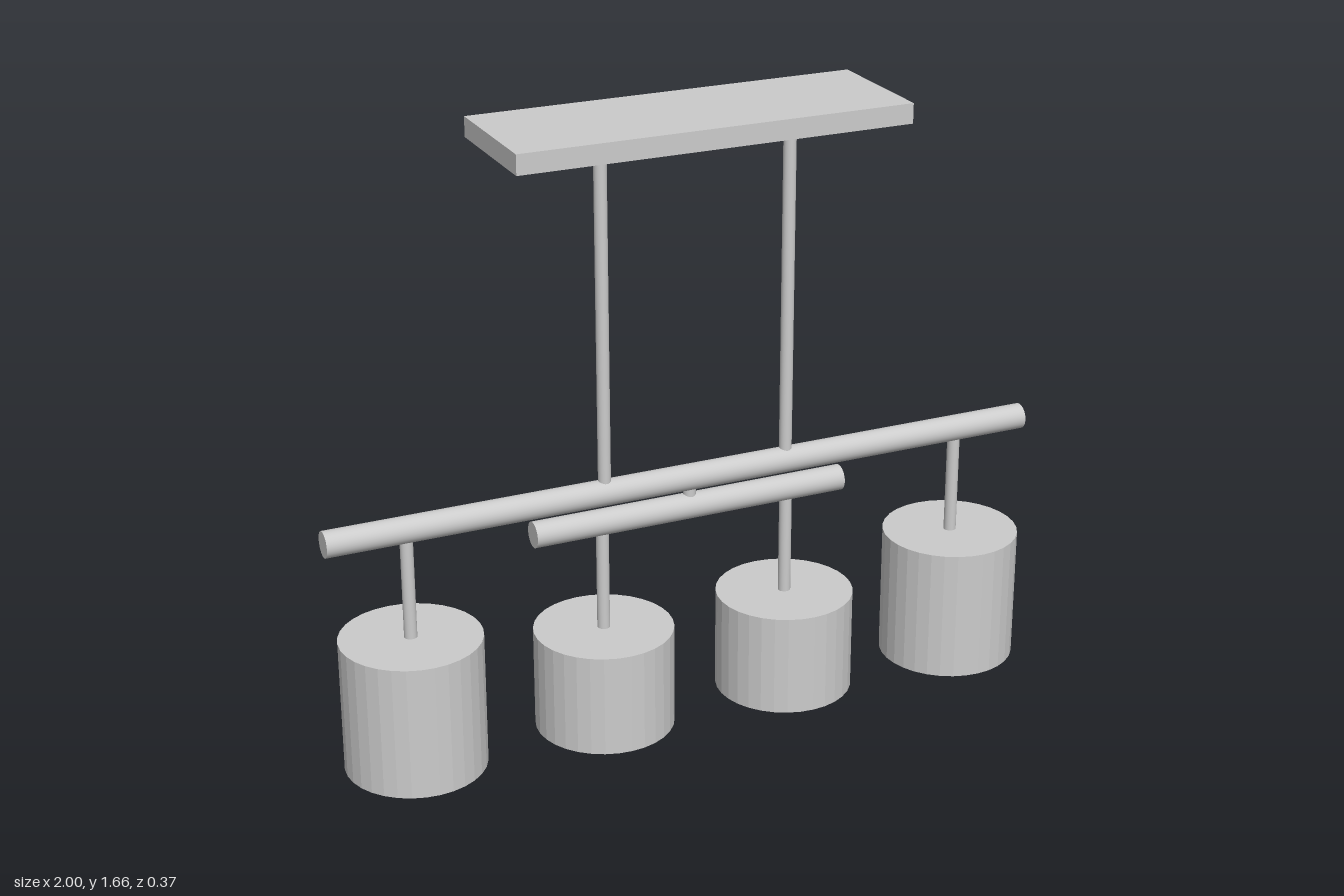
import * as THREE from 'three';

const grey = new THREE.MeshStandardMaterial({ color: 0xcccccc });
const faceted = new THREE.MeshStandardMaterial({ color: 0xcccccc, flatShading: true });

export function createModel() {
  const model = new THREE.Group();
  model.name = 'pendantLamp';

  const add = (name, geometry, x, y, material = grey) => {
    const mesh = new THREE.Mesh(geometry, material);
    mesh.name = name;
    mesh.position.set(x, y, 0);
    model.add(mesh);
    return mesh;
  };

  // Upright rod between two heights
  const rod = (name, x, bottom, top, radius = 0.017) =>
    add(name, new THREE.CylinderGeometry(radius, radius, top - bottom, 24), x, (bottom + top) / 2);

  // Round bar lying along x
  const bar = (name, x, y, length) => {
    add(name, new THREE.CylinderGeometry(0.035, 0.035, length, 32), x, y).rotation.z = Math.PI / 2;
  };

  // Drum shade, closed on top and open below, with a thin wall
  const shade = (name, x, bottom, top) => {
    const radius = 0.187, wall = 0.01;
    const profile = [
      [0, top - wall], [radius - wall, top - wall], [radius - wall, bottom],
      [radius, bottom], [radius, top], [0, top],
    ].map(([r, y]) => new THREE.Vector2(r, y));
    add(name, new THREE.LatheGeometry(profile, 32), x, 0, faceted);
  };

  // Ceiling plate and its two suspension rods
  add('ceilingPlate', new THREE.BoxGeometry(1.06, 0.053, 0.355), 0, 1.637);
  for (const x of [-0.245, 0.276]) rod('suspensionRod', x, 0.69, 1.62);

  // Long main bar with the shorter bar hung below it
  bar('mainBar', 0, 0.671, 2);
  bar('lowerBar', -0.003, 0.589, 0.885);
  rod('barConnector', -0.004, 0.6, 0.66);

  // Outer shades hang from the main bar, inner ones from the lower bar
  const pendants = [
    ['outerRight', -0.785, 0.005, 0.37, 0.66],
    ['innerRight', -0.253, 0.005, 0.285, 0.575],
    ['innerLeft', 0.279, 0.005, 0.285, 0.575],
    ['outerLeft', 0.793, 0, 0.367, 0.66],
  ];
  for (const [name, x, bottom, top, hook] of pendants) {
    shade(name + 'Shade', x, bottom, top);
    rod(name + 'Stem', x, top - 0.005, hook);
  }

  return model;
}
